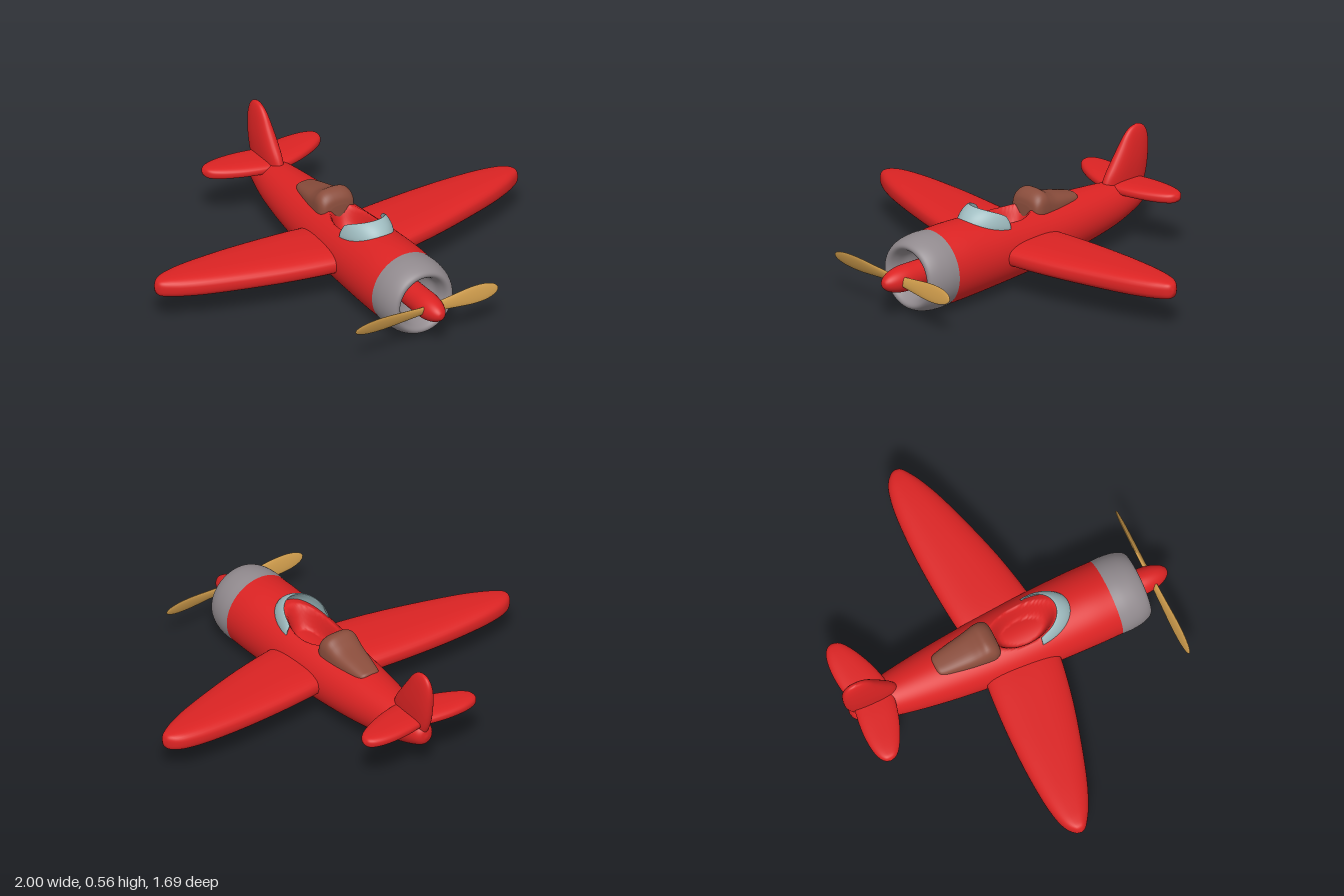
import * as THREE from 'three';

const paint = (name, color) => {
  const m = new THREE.MeshStandardMaterial({ color });
  m.name = name;
  return m;
};

// Smoothly resample a short table of stations into n + 1 rows
function resample(rows, n) {
  const curve = new THREE.CubicInterpolant(rows.map((_, i) => i), rows.flat(), rows[0].length);
  return Array.from({ length: n + 1 }, (_, i) => [...curve.evaluate((i / n) * (rows.length - 1))]);
}

// Unit superellipse: n = 2 is round, higher is boxier
function superellipse(count, n) {
  const soft = v => Math.sign(v) * Math.abs(v) ** (2 / n);
  return Array.from({ length: count }, (_, i) => {
    const a = (i / count) * Math.PI * 2;
    return [soft(Math.cos(a)), soft(Math.sin(a))];
  });
}

// Skin closed cross-sections, cap both ends and face the surface outward
function loft(rings) {
  const m = rings[0].length;
  const points = rings.flat();
  const index = [];
  for (let r = 0; r < rings.length - 1; r++) {
    for (let i = 0; i < m; i++) {
      const a = r * m + i, b = r * m + (i + 1) % m;
      index.push(a, b, b + m, a, b + m, a + m);
    }
  }
  [0, rings.length - 1].forEach(r => {
    const centre = points.length;
    points.push([0, 1, 2].map(k => rings[r].reduce((s, p) => s + p[k], 0) / m));
    for (let i = 0; i < m; i++) {
      const a = r * m + i, b = r * m + (i + 1) % m;
      index.push(centre, ...(r ? [a, b] : [b, a]));
    }
  });
  const v = points.map(p => new THREE.Vector3(...p));
  let volume = 0;
  for (let i = 0; i < index.length; i += 3) {
    volume += v[index[i]].dot(v[index[i + 1]].clone().cross(v[index[i + 2]]));
  }
  if (volume < 0) index.reverse();
  const g = new THREE.BufferGeometry().setFromPoints(v);
  g.setIndex(index);
  g.computeVertexNormals();
  return g;
}

// Wing-like panel: rows are [span, leading z, trailing z, half thickness]
function panel(rows, boxiness, place) {
  const section = superellipse(36, boxiness);
  return loft(resample(rows, 36).map(([s, lead, trail, h]) =>
    section.map(([c, t]) => place(s, (lead + trail) / 2 + c * (lead - trail) / 2, t * h))));
}

// Body along z: rows are [z, half width, bottom y, top y]
function hull(rows, steps, count, boxiness, shape = (x, y) => y) {
  const section = superellipse(count, boxiness);
  return loft(resample(rows, steps).map(([z, w, lo, hi]) => section.map(([c, s]) => {
    const x = c * w, y = (lo + hi) / 2 + s * (hi - lo) / 2;
    return [x, shape(x, y, z), z];
  })));
}

// Turned part pointing forward: rows are [radius, z]
function turned(rows) {
  const pts = resample(rows, 40).map(([r, z]) => new THREE.Vector2(Math.max(r, 0), z));
  return new THREE.LatheGeometry(pts, 64).rotateX(Math.PI / 2).translate(0, 0.19, 0);
}

export function createModel() {
  const model = new THREE.Group();
  model.name = 'propellerPlane';
  const red = paint('red paint', 0xdb2323);
  const grey = paint('grey metal', 0x918a8e);
  const brown = paint('brown leather', 0x8a4d3c);
  const glass = paint('pale glass', 0x9fbcc0);
  const wood = paint('propeller wood', 0xcb994a);
  const add = (name, geometry, material) => {
    const mesh = new THREE.Mesh(geometry, material);
    mesh.name = name;
    model.add(mesh);
  };

  // Fuselage with a scooped cockpit
  add('fuselage', hull([
    [0.54, 0.185, 0.006, 0.374], [0.4, 0.186, 0.008, 0.378], [0.2, 0.181, 0.018, 0.368],
    [0, 0.171, 0.03, 0.352], [-0.2, 0.156, 0.046, 0.337], [-0.4, 0.134, 0.069, 0.326],
    [-0.58, 0.106, 0.1, 0.313], [-0.7, 0.078, 0.134, 0.297], [-0.77, 0.055, 0.162, 0.276],
    [-0.797, 0.034, 0.182, 0.256], [-0.807, 0.006, 0.21, 0.225],
  ], 130, 120, 2, (x, y, z) => {
    const r = Math.hypot(x / 0.098, (z - 0.09) / 0.175);
    return y > 0.2 ? y - 0.11 * (1 - THREE.MathUtils.smoothstep(r, 0.62, 1)) : y;
  }), red);

  // Nose ring with a hollow mouth, and the spinner inside it
  add('cowling', turned([
    [0.186, 0.525], [0.187, 0.58], [0.18, 0.635], [0.165, 0.675], [0.148, 0.69],
    [0.13, 0.682], [0.115, 0.65], [0.1, 0.6], [0.06, 0.575], [0, 0.57],
  ]), grey);
  add('spinner', turned([
    [0.062, 0.56], [0.063, 0.65], [0.063, 0.72], [0.054, 0.775], [0.038, 0.815],
    [0.018, 0.838], [0, 0.843],
  ]), red);

  // Wings and tailplane, mirrored
  for (const [side, sx] of [['left', 1], ['right', -1]]) {
    add(side + 'Wing', panel([
      [0.08, 0.215, -0.155, 0.055], [0.2, 0.203, -0.172, 0.06], [0.4, 0.163, -0.186, 0.06],
      [0.6, 0.108, -0.19, 0.059], [0.78, 0.05, -0.182, 0.056], [0.89, 0.004, -0.166, 0.051],
      [0.95, -0.03, -0.145, 0.045], [0.985, -0.056, -0.116, 0.035], [0.999, -0.08, -0.09, 0.01],
    ], 2.7, (s, z, t) => [sx * s, 0.195 + t, z]), red);
    add(side + 'Tailplane', panel([
      [0.02, -0.59, -0.79, 0.03], [0.09, -0.604, -0.802, 0.032], [0.16, -0.625, -0.808, 0.032],
      [0.23, -0.655, -0.805, 0.031], [0.28, -0.684, -0.793, 0.028], [0.308, -0.71, -0.775, 0.022],
      [0.321, -0.74, -0.752, 0.006],
    ], 2.6, (s, z, t) => [sx * s, 0.286 + t, z]), red);
  }

  // Upright tail fin
  add('fin', panel([
    [0.21, -0.6, -0.78, 0.025], [0.27, -0.56, -0.812, 0.037], [0.33, -0.572, -0.83, 0.041],
    [0.4, -0.617, -0.84, 0.04], [0.47, -0.665, -0.843, 0.033], [0.52, -0.7, -0.834, 0.024],
    [0.55, -0.734, -0.812, 0.014], [0.562, -0.772, -0.782, 0.004],
  ], 2.3, (s, z, t) => [t, s, z]), red);

  // Padded headrest tapering backward
  add('headrest', hull([
    [-0.052, 0.05, 0.28, 0.35], [-0.06, 0.08, 0.26, 0.385], [-0.085, 0.094, 0.25, 0.411],
    [-0.12, 0.094, 0.25, 0.42], [-0.155, 0.09, 0.25, 0.401], [-0.2, 0.084, 0.25, 0.379],
    [-0.27, 0.073, 0.255, 0.361], [-0.335, 0.06, 0.265, 0.344], [-0.36, 0.046, 0.28, 0.336],
    [-0.37, 0.02, 0.295, 0.32],
  ], 48, 40, 2.8), brown);

  // Curved windscreen: a leaning strip swept round the cockpit front
  const strip = superellipse(28, 2.4);
  const screen = Array.from({ length: 41 }, (_, i) => {
    const a = (i / 20 - 1) * Math.PI / 2;
    const front = Math.cos(a), across = Math.sin(a);
    const lo = 0.31 + 0.03 * front, hi = 0.36 + 0.066 * Math.max(front, 0) ** 0.6;
    const thick = 0.006 + 0.008 * front;
    return strip.map(([c, s]) => {
      const t = (s + 1) / 2, lean = t * t;
      return [across * (0.122 - 0.018 * lean + c * thick * 0.6), lo + (hi - lo) * t,
        0.14 + front * (0.187 - 0.065 * lean + c * thick)];
    });
  });
  add('windscreen', loft(screen), glass);

  // Two pitched propeller blades, the right one slightly longer
  for (const [name, sx, length] of [['leftBlade', 1, 0.365], ['rightBlade', -1, 0.422]]) {
    const rows = [
      [0.03, 0.02, 0.012], [0.1, 0.022, 0.011], [0.35, 0.032, 0.01], [0.6, 0.041, 0.009],
      [0.8, 0.039, 0.008], [0.93, 0.027, 0.006], [0.985, 0.013, 0.004], [1, 0.002, 0.001],
    ];
    const pitch = 0.3 * sx;
    add(name, panel(rows.map(([u, w, h]) => [u * length, w, -w, h]), 2, (s, w, t) => [
      sx * s, 0.196 + w * Math.cos(pitch) + t * Math.sin(pitch),
      0.756 - w * Math.sin(pitch) + t * Math.cos(pitch),
    ]), wood);
  }
  return model;
}
